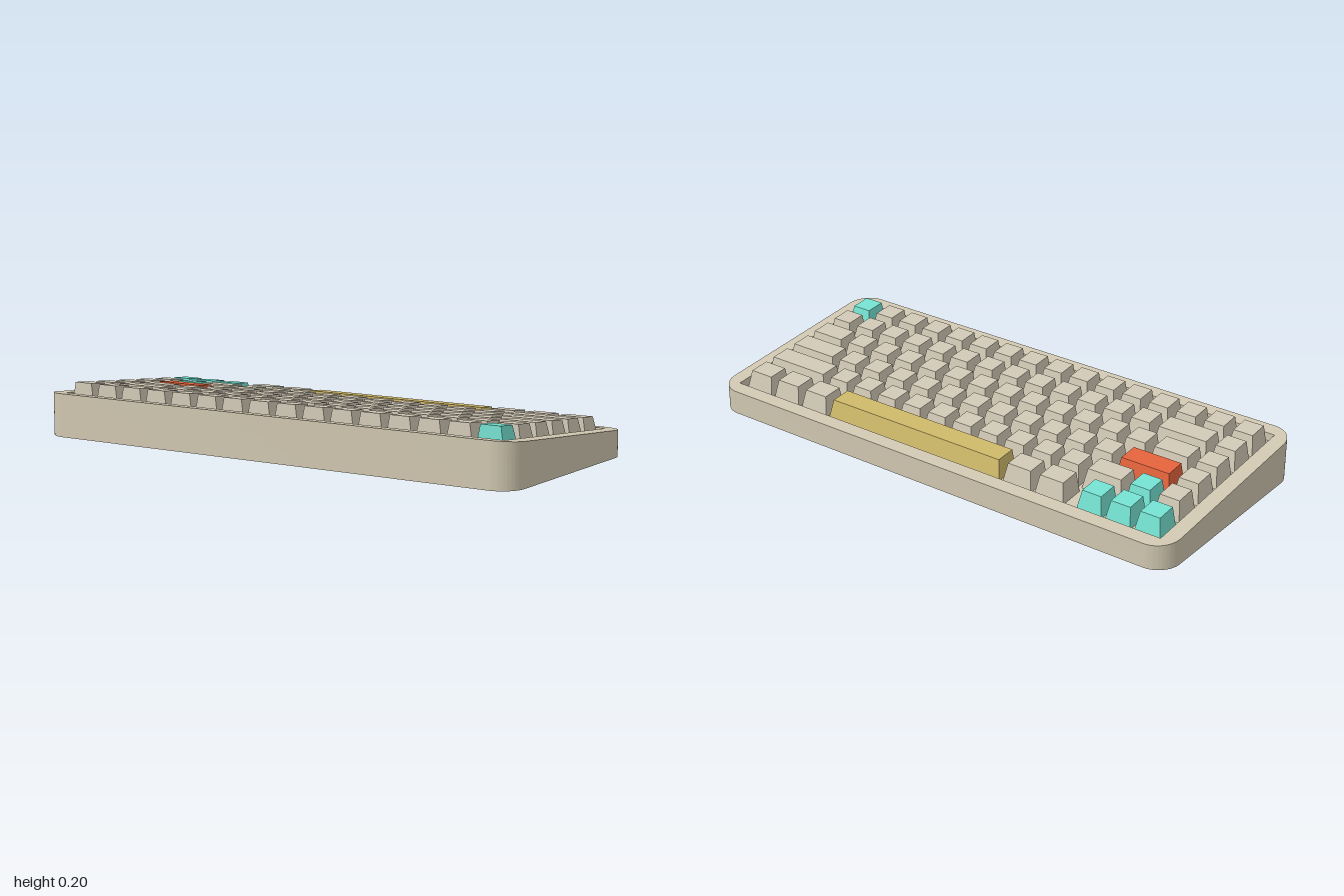
import * as THREE from 'three';
import { toCreasedNormals } from 'three/addons/utils/BufferGeometryUtils.js';

const W = 2, D = 0.852;            // case footprint
const SLOPE = 0.0858;              // deck rises towards +z
const RECESS = 0.03;               // depth of the key well
const UNIT = 0.1166, ROW = 0.119;  // key pitch
const GAP = 0.0146;
const KEY_H = 0.072, KEY_D = 0.099;
const deckY = (z) => 0.1283 + SLOPE * z;

const mat = (color) => new THREE.MeshStandardMaterial({ color, roughness: 0.8 });
const materials = {
  case: mat(0xd0c7b0), key: mat(0xd0c7b4), cyan: mat(0x74e0d0),
  red: mat(0xe2623a), gold: mat(0xcdb769),
};

function roundedRect(w, d, r) {
  const s = new THREE.Shape(), x = w / 2, y = d / 2;
  s.moveTo(-x + r, -y);
  s.lineTo(x - r, -y);
  s.absarc(x - r, -y + r, r, -Math.PI / 2, 0);
  s.absarc(x - r, y - r, r, 0, Math.PI / 2);
  s.absarc(-x + r, y - r, r, Math.PI / 2, Math.PI);
  s.absarc(-x + r, -y + r, r, Math.PI, Math.PI * 1.5);
  return s;
}

// Stretch a solid of height 1 so its top follows the sloping deck
function slopeTop(geo, drop) {
  const p = geo.attributes.position;
  for (let i = 0; i < p.count; i++) {
    p.setY(i, p.getY(i) > 0.5 ? deckY(p.getZ(i)) - drop : 0);
  }
  geo.computeVertexNormals();
  return geo;
}

// Keycap: a box narrowed at the top, with the top shifted towards +z
function keyGeometry(width) {
  const geo = new THREE.BoxGeometry(width, KEY_H, KEY_D).translate(0, KEY_H / 2, 0);
  const p = geo.attributes.position;
  for (let i = 0; i < p.count; i++) {
    if (p.getY(i) < KEY_H / 2) continue;
    p.setX(i, p.getX(i) - Math.sign(p.getX(i)) * 0.0125);
    p.setZ(i, Math.sign(p.getZ(i)) * 0.039 + 0.0125);
  }
  geo.computeVertexNormals();
  return geo;
}

// Rows from +z to -z; each entry is [width in units, material, count], 'gap' leaves a space
const MOD = 3.5 / 3;
const rows = [
  [[1, 'key', 15], [1, 'cyan']],
  [[1, 'key'], [2, 'key'], [1, 'key', 13]],
  [[1, 'key'], [1.5, 'key'], [1, 'key', 12], [1.5, 'key']],
  [[1, 'key'], [2, 'red'], [1, 'key', 11], [2, 'key']],
  [[1, 'key'], [1, 'cyan'], [1.5, 'key'], [1, 'key', 10], [2.5, 'key']],
  [[1, 'cyan', 3], [4.5 - MOD - 3, 'gap'], [MOD, 'key', 2],
    [12.5 - 4.5 - MOD, 'gold'], [MOD, 'key', 3]],
];

export function createModel() {
  const model = new THREE.Group();
  model.name = 'keyboard';

  // Wedge-shaped case with rounded corners and a rectangular well
  const outline = roundedRect(W, D, 0.09);
  const wx = 0.943, wz = 0.371;
  outline.holes.push(new THREE.Path([
    new THREE.Vector2(-wx, -wz), new THREE.Vector2(-wx, wz),
    new THREE.Vector2(wx, wz), new THREE.Vector2(wx, -wz),
  ]));
  const rim = new THREE.ExtrudeGeometry(outline, { depth: 1, bevelEnabled: false, curveSegments: 10 });
  rim.rotateX(-Math.PI / 2);
  const frame = new THREE.Mesh(toCreasedNormals(slopeTop(rim, 0), 0.5), materials.case);
  frame.name = 'caseFrame';
  model.add(frame);

  // Plate filling the well, below the rim
  const plateGeo = new THREE.BoxGeometry(wx * 2, 1, wz * 2).translate(0, 0.5, 0);
  const plate = new THREE.Mesh(slopeTop(plateGeo, RECESS), materials.case);
  plate.name = 'keyPlate';
  model.add(plate);

  // Keys
  const keys = new THREE.Group();
  keys.name = 'keys';
  model.add(keys);
  rows.forEach((row, r) => {
    const rowGroup = new THREE.Group();
    rowGroup.name = `keyRow${r + 1}`;
    const z = (2.5 - r) * ROW;
    rowGroup.position.set(0, deckY(z) - RECESS, z);
    rowGroup.rotation.x = -Math.atan(SLOPE);
    keys.add(rowGroup);

    let u = -8;
    for (const [width, kind, count = 1] of row) {
      const geo = kind === 'gap' ? null : keyGeometry(width * UNIT - GAP);
      for (let i = 0; i < count; i++, u += width) {
        if (!geo) continue;
        const key = new THREE.Mesh(geo, materials[kind]);
        key.name = kind === 'gold' ? 'spaceBar' : 'keycap';
        key.position.x = (u + width / 2) * UNIT;
        rowGroup.add(key);
      }
    }
  });
  return model;
}
